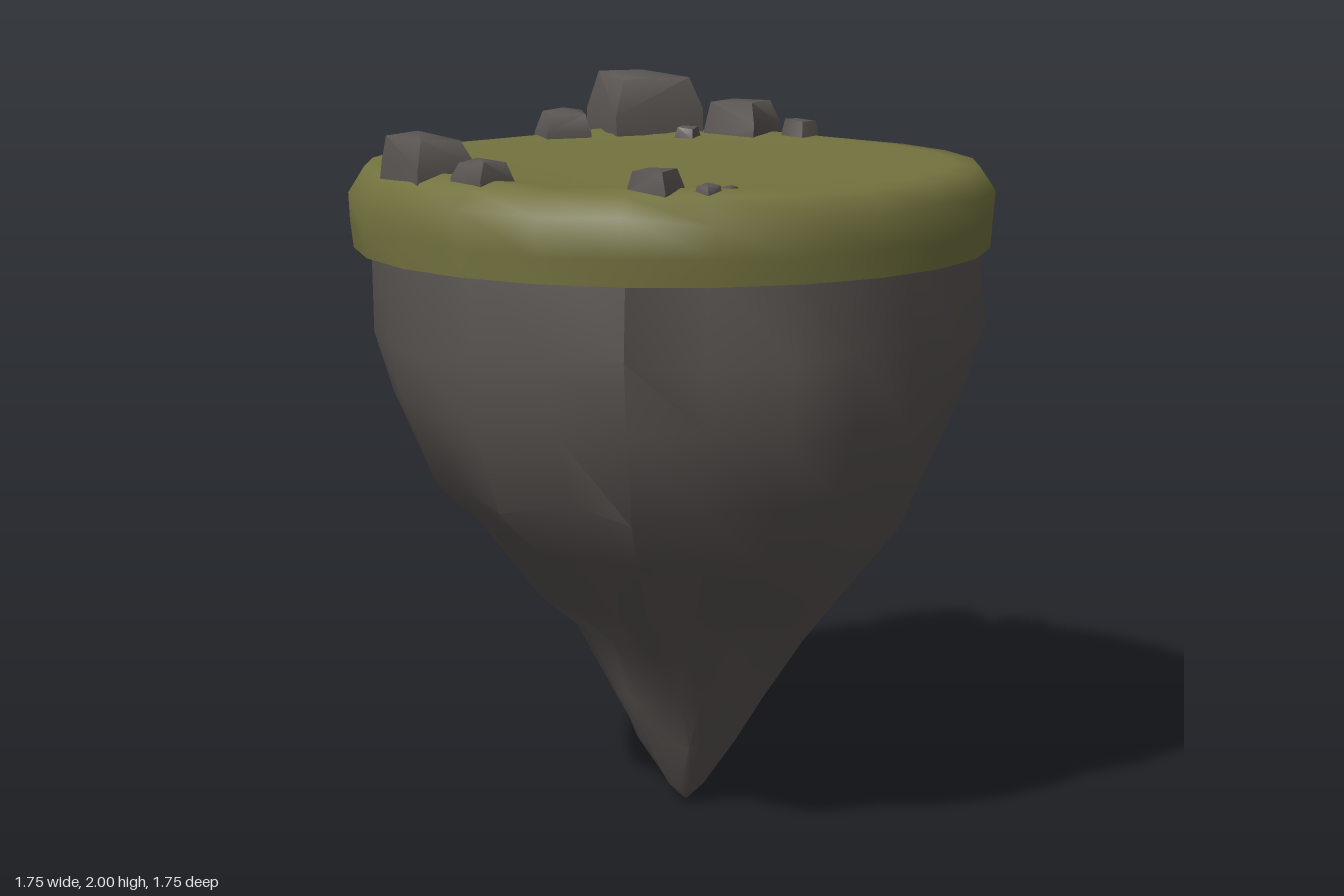
import * as THREE from 'three';
import { toCreasedNormals } from 'three/addons/utils/BufferGeometryUtils.js';
import { ConvexGeometry } from 'three/addons/geometries/ConvexGeometry.js';

// Seeded random numbers in -1..1
function seeded(seed) {
  return () => {
    seed = (seed * 16807) % 2147483647;
    return (seed / 2147483647) * 2 - 1;
  };
}

// Joins rings of points (listed from top to bottom) into an indexed smooth surface
function loft(rings) {
  const n = rings[0].length, index = [];
  for (let i = 0; i < rings.length - 1; i++) {
    for (let j = 0; j < n; j++) {
      const a = i * n + j, b = i * n + (j + 1) % n;
      index.push(a, b, a + n, b, b + n, a + n);
    }
  }
  const geo = new THREE.BufferGeometry();
  geo.setAttribute('position', new THREE.Float32BufferAttribute(rings.flat(2), 3));
  geo.setIndex(index);
  geo.computeVertexNormals();
  return geo;
}

// Boulders: x, z, width, depth, top height, turn
const boulders = [
  [-0.67, -0.41, 0.23, 0.28, 2.00, -0.25],
  [-0.46, -0.60, 0.18, 0.16, 1.92, 0.4],
  [-0.71, -0.14, 0.13, 0.15, 1.90, -0.4],
  [-0.29, -0.69, 0.09, 0.08, 1.87, 0.2],
  [-0.48, -0.42, 0.06, 0.06, 1.85, 0.5],
  [-0.07, 0.75, 0.23, 0.16, 1.93, -0.05],
  [0.17, 0.73, 0.13, 0.11, 1.88, 0.1],
  [-0.29, 0.69, 0.11, 0.10, 1.865, -0.5],
  [0.58, 0.49, 0.12, 0.10, 1.875, 0.35],
  [0.68, 0.40, 0.05, 0.06, 1.84, 0.2],
  [0.66, 0.32, 0.03, 0.07, 1.825, 0.3],
];

// Hanging rock: height, then the reach in eight directions from +x round by +z
const levels = [
  [1.64, 0.77, 0.83, 0.81, 0.83, 0.81, 0.81, 0.79, 0.83],
  [1.38, 0.78, 0.86, 0.83, 0.81, 0.80, 0.82, 0.77, 0.86],
  [1.19, 0.79, 0.82, 0.78, 0.77, 0.73, 0.75, 0.70, 0.80],
  [0.98, 0.70, 0.74, 0.70, 0.67, 0.64, 0.66, 0.60, 0.70],
  [0.82, 0.61, 0.63, 0.52, 0.55, 0.48, 0.57, 0.48, 0.63],
  [0.62, 0.40, 0.46, 0.35, 0.40, 0.40, 0.42, 0.41, 0.48],
  [0.50, 0.29, 0.32, 0.21, 0.27, 0.25, 0.32, 0.35, 0.37],
  [0.33, 0.23, 0.19, 0.15, 0.17, 0.17, 0.18, 0.26, 0.26],
  [0.18, 0.13, 0.11, 0.08, 0.10, 0.09, 0.10, 0.16, 0.18],
  [0.05, 0.08, 0.03, 0.01, 0.01, 0.01, 0.03, 0.07, 0.09],
];
// Two deep gullies on the front left side; other columns stay full
const gullies = { 1: 1.02, 2: 0.93, 4: 0.94, 5: 1.01 };

function rockBody() {
  const rand = seeded(77), sides = 24;
  const rings = levels.map(([y, ...reach]) => {
    const ring = [];
    for (let j = 0; j < sides; j++) {
      const t = (j / sides) * Math.PI * 2, k = Math.floor(j / 3), f = (j % 3) / 3;
      let r = reach[k] * (1 - f) + reach[(k + 1) % 8] * f;
      if (f > 0) r *= (gullies[j] ?? 0.985) + 0.015 * rand();
      const dy = y > 0.1 && y < 1.6 ? 0.025 * rand() : 0;
      ring.push([Math.cos(t) * r, y + dy, Math.sin(t) * r]);
    }
    return ring;
  });
  rings.push(rings[0].map(() => [0.025, 0, -0.03]));
  return toCreasedNormals(loft(rings), 0.85);
}

function grassCap() {
  const rand = seeded(19), sides = 24;
  // Radius and height from the middle of the top, round the rim, to the middle below
  const profile = [
    [0, 1.81], [0.3, 1.81], [0.55, 1.81], [0.62, 1.81], [0.69, 1.812], [0.77, 1.815], [0.835, 1.81],
    [0.877, 1.75], [0.874, 1.67], [0.867, 1.59], [0.74, 1.60], [0, 1.61],
  ];
  const rings = profile.map(([r, y], i) => {
    const ring = [], side = i === 7 || i === 8;
    for (let j = 0; j < sides; j++) {
      const t = (j / sides) * Math.PI * 2;
      const rr = r + (side ? 0.004 * rand() : 0);
      const x = Math.cos(t) * rr, z = Math.sin(t) * rr;
      let h = y + (side ? 0.015 * rand() : 0);
      // Turf swells a little beside the boulders
      if (i > 2 && i < 6) {
        for (const [bx, bz, w] of boulders) {
          h += 0.14 * w * Math.exp(-((x - bx) ** 2 + (z - bz) ** 2) / 0.008);
        }
      }
      ring.push([x, h, z]);
    }
    return ring;
  });
  return toCreasedNormals(loft(rings), 1.2);
}

function boulder(w, d, top, seed) {
  const rand = seeded(seed), points = [], base = 1.78, h = top - base;
  // Buried foot, shoulder and narrower crown, each a loose rectangle
  for (const [k, y] of [[1, 0], [0.97, 0.45], [0.74, 0.93]]) {
    for (const [sx, sz] of [[1, 1], [1, -1], [-1, -1], [-1, 1]]) {
      const jitter = () => 1 + 0.12 * rand();
      points.push(new THREE.Vector3(
        sx * w * 0.5 * k * jitter(),
        base + h * (y + (y > 0 ? 0.06 * rand() : 0)),
        sz * d * 0.5 * k * jitter()));
    }
  }
  points.push(new THREE.Vector3(-0.15 * w, top, 0));
  return toCreasedNormals(new ConvexGeometry(points), 1.15);
}

export function createModel() {
  const grass = new THREE.MeshStandardMaterial({ name: 'grass green', color: 0x73723f });
  const stone = new THREE.MeshStandardMaterial({ name: 'stone grey', color: 0x595451 });
  const island = new THREE.Group();
  island.name = 'floatingIsland';

  const add = (name, geo, mat) => {
    const mesh = new THREE.Mesh(geo, mat);
    mesh.name = name;
    island.add(mesh);
    return mesh;
  };

  add('hangingRock', rockBody(), stone);
  add('grassCap', grassCap(), grass);

  boulders.forEach(([x, z, w, d, top, turn], i) => {
    const rock = add('boulder' + (i + 1), boulder(w, d, top, 101 + i * 37), stone);
    rock.position.set(x, 0, z);
    rock.rotation.y = turn;
  });
  return island;
}
